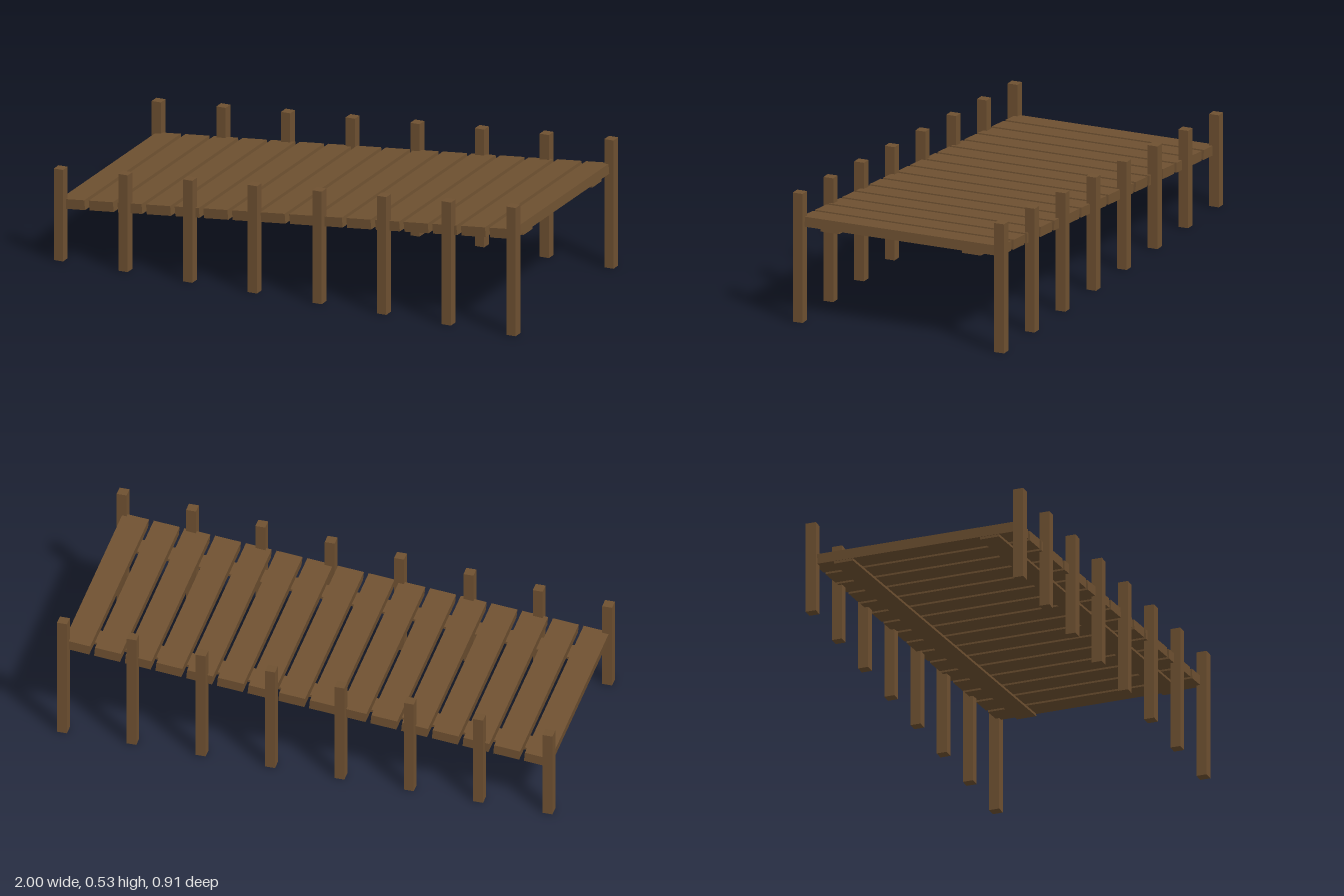
import * as THREE from 'three';

const wood = new THREE.MeshStandardMaterial({ color: 0x6f5131, flatShading: true });

function addBox(parent, name, [w, h, d], [x, y, z]) {
  const mesh = new THREE.Mesh(new THREE.BoxGeometry(w, h, d), wood);
  mesh.name = name;
  mesh.position.set(x, y, z);
  parent.add(mesh);
}

export function createModel() {
  const model = new THREE.Group();
  model.name = 'slopingPier';

  // Sloping deck; its local y = 0 is the underside of the planks
  const deck = new THREE.Group();
  deck.name = 'deck';
  deck.position.y = 0.2985;
  deck.rotation.z = Math.atan(0.0934);
  model.add(deck);

  // Cross planks
  const plankCount = 16, pitch = 0.1245;
  for (let i = 0; i < plankCount; i++) {
    const x = (i - (plankCount - 1) / 2) * pitch;
    addBox(deck, 'plank', [0.105, 0.04, 0.854], [x, 0.02, 0]);
  }

  // Two thin stringers under the planks
  for (const side of [-1, 1]) {
    addBox(deck, 'stringer', [1.968, 0.01, 0.08], [0, -0.005, side * 0.305]);
  }

  // Upright posts along both sides, rising with the deck
  const postCount = 8;
  for (let i = 0; i < postCount; i++) {
    const t = i / (postCount - 1);
    const x = THREE.MathUtils.lerp(-0.98, 0.98, t);
    const height = THREE.MathUtils.lerp(0.378, 0.53, t);
    for (const side of [-1, 1]) {
      addBox(model, 'post', [0.04, height, 0.042], [x, height / 2, side * 0.433]);
    }
  }

  return model;
}
